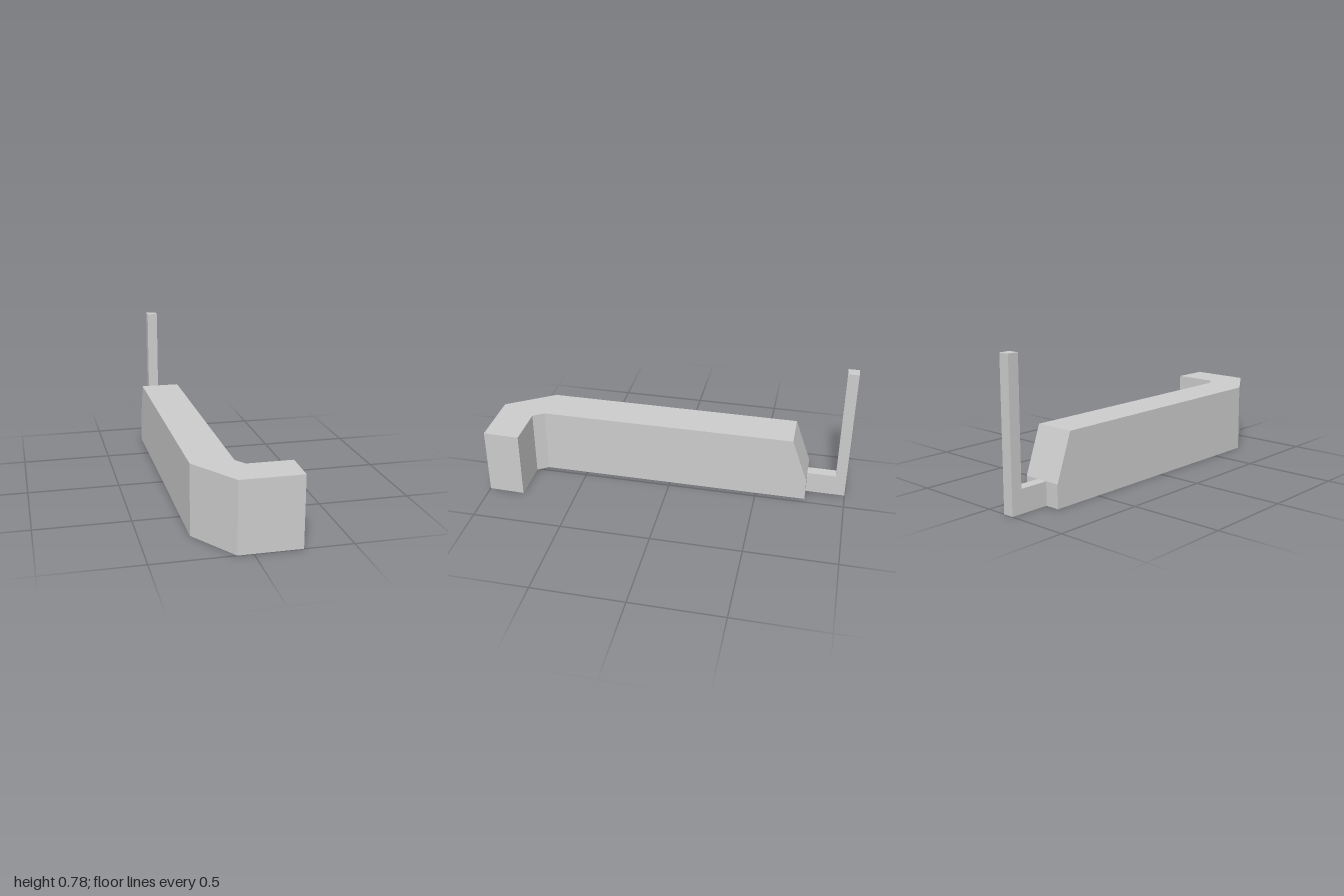
import * as THREE from 'three';

const material = new THREE.MeshStandardMaterial({ color: 0xcccccc, flatShading: true });

const outline = (points) => new THREE.Shape(points.map(([a, b]) => new THREE.Vector2(a, b)));

// Long bar with a hooked front end and a sloped back end
function createBody() {
  const height = 0.375, sillHeight = 0.125, slopeRun = 0.09;
  const footprint = [ // x, z
    [-0.25, 0.74], [-0.08, 1], [0.245, 1], [0.25, 0.8],
    [0.01, 0.8], [-0.03, 0.74], [-0.03, -0.78], [-0.25, -0.78],
  ];
  const geometry = new THREE.ExtrudeGeometry(
    outline(footprint.map(([x, z]) => [x, -z])),
    { depth: height, steps: 3, bevelEnabled: false },
  );
  geometry.rotateX(-Math.PI / 2);

  // Lean the back end forward above the sill
  const position = geometry.attributes.position;
  for (let i = 0; i < position.count; i++) {
    const lean = Math.max(0, (position.getY(i) - sillHeight) / (height - sillHeight));
    if (position.getZ(i) < -0.7) position.setZ(i, position.getZ(i) + lean * slopeRun);
  }
  geometry.computeVertexNormals();

  const body = new THREE.Mesh(geometry, material);
  body.name = 'hookedBody';
  return body;
}

// Thin L-shaped arm: short foot behind the body, then a tall upright
function createArm() {
  const profile = [ // z, y
    [-1, 0], [-0.78, 0], [-0.78, 0.125], [-0.94, 0.125], [-0.94, 0.78], [-1, 0.78],
  ];
  const geometry = new THREE.ExtrudeGeometry(outline(profile), { depth: 0.06, bevelEnabled: false });
  geometry.rotateY(-Math.PI / 2);
  geometry.translate(-0.11, 0, 0);

  const arm = new THREE.Mesh(geometry, material);
  arm.name = 'uprightArm';
  return arm;
}

export function createModel() {
  const model = new THREE.Group();
  model.name = 'hookedBarWithUpright';
  model.add(createBody(), createArm());
  return model;
}
